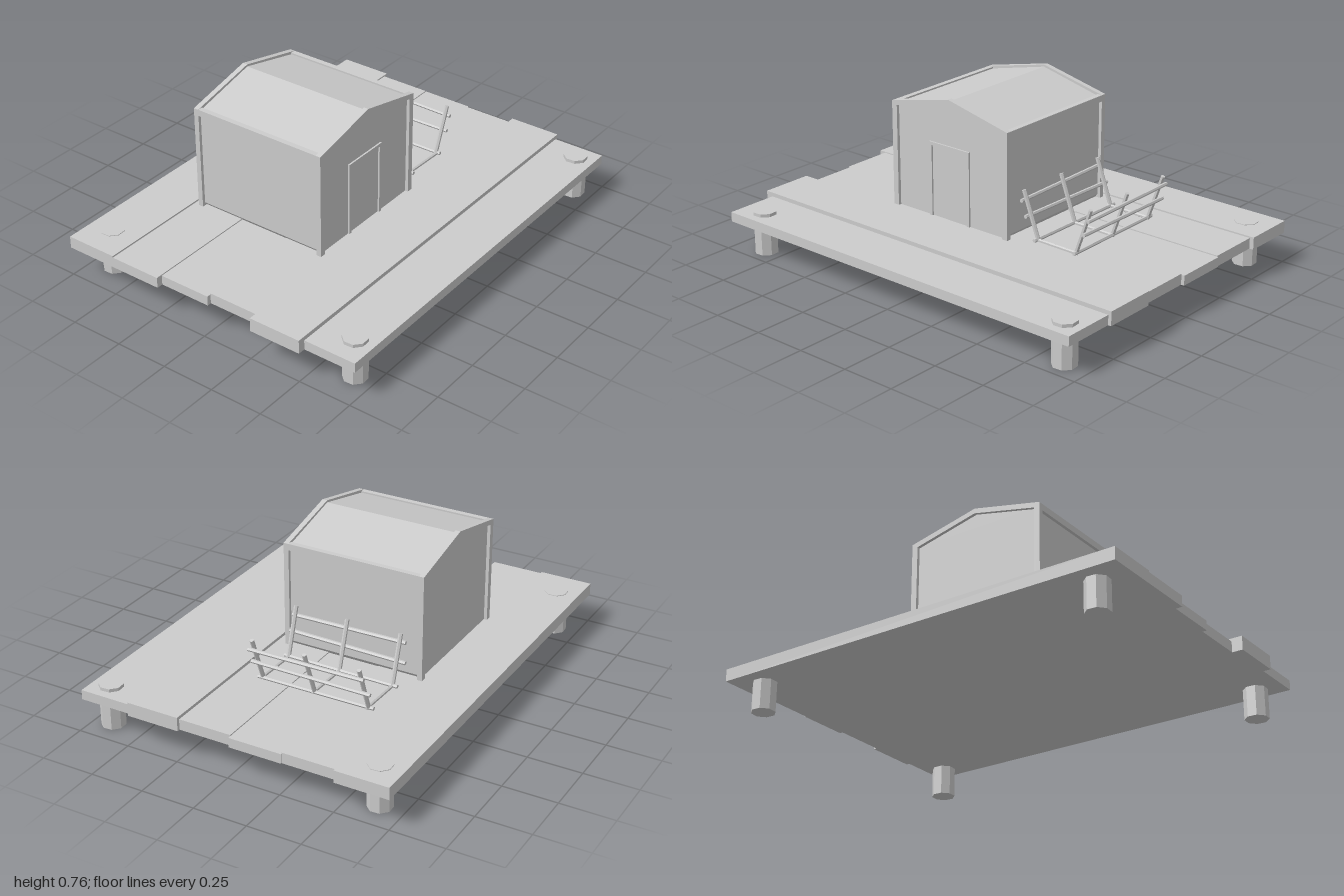
import * as THREE from 'three';

export function createModel() {
  const model = new THREE.Group();
  const grey = new THREE.MeshStandardMaterial({ color: 0xcccccc, flatShading: true });
  grey.name = 'plain grey';

  const add = (name, geometry, parent = model) => {
    const mesh = new THREE.Mesh(geometry, grey);
    mesh.name = name;
    parent.add(mesh);
    return mesh;
  };
  const box = (name, x0, x1, y0, y1, z0, z1, parent) =>
    add(name, new THREE.BoxGeometry(x1 - x0, y1 - y0, z1 - z0), parent)
      .position.set((x0 + x1) / 2, (y0 + y1) / 2, (z0 + z1) / 2);
  // Square-ish stick between two points
  const stick = (name, a, b, r, parent) => {
    const p = new THREE.Vector3(...a), q = new THREE.Vector3(...b);
    const mesh = add(name, new THREE.CylinderGeometry(r, r, p.distanceTo(q), 6), parent);
    mesh.position.copy(p).add(q).multiplyScalar(0.5);
    mesh.quaternion.setFromUnitVectors(new THREE.Vector3(0, 1, 0), q.sub(p).normalize());
  };
  // Outline in [z, y], extruded along x from x0 to x1
  const extrudeX = (name, points, x0, x1, parent) => {
    const shape = new THREE.Shape(points.map(([z, y]) => new THREE.Vector2(-z, y)));
    const geo = new THREE.ExtrudeGeometry(shape, { depth: x1 - x0, bevelEnabled: false });
    geo.rotateY(Math.PI / 2).translate(x0, 0, 0);
    return add(name, geo, parent);
  };

  // Deck of uneven planks: top height, back end, front end
  const deck = new THREE.Group();
  deck.name = 'deck';
  model.add(deck);
  [
    [0.197, -1.0, 1.0], [0.19, -0.98, 1.0], [0.185, -0.985, 0.97],
    [0.19, -0.97, 0.95], [0.204, -0.985, 1.0], [0.185, -0.97, 0.965],
  ].forEach(([top, back, front], i) => {
    const x = -0.75 + i * 0.25;
    box('plank', x, x + 0.25, 0.14, top, back, front, deck);
  });

  // Eight-sided posts
  for (const [x, z] of [[-0.64, 0.85], [-0.64, -0.87], [0.66, 0.84], [0.66, -0.88]]) {
    const post = add('post', new THREE.CylinderGeometry(0.055, 0.055, 0.2, 8), deck);
    post.position.set(x, 0.1, z);
    post.rotation.y = Math.PI / 8 + 0.06;
  }

  // Hut body: walls and roof, with the lower edge of the long walls turned in
  const hut = new THREE.Group();
  hut.name = 'hut';
  model.add(hut);
  extrudeX('walls and roof', [
    [0.44, 0.185], [0.455, 0.205], [0.455, 0.675], [0.135, 0.75],
    [-0.185, 0.675], [-0.185, 0.205], [-0.17, 0.185],
  ], -0.46, 0.192, hut);

  // Gable frames at both ends
  const gable = [
    [0.47, 0.185], [0.47, 0.685], [0.135, 0.76], [-0.2, 0.685], [-0.2, 0.185],
    [-0.172, 0.185], [-0.172, 0.667], [0.135, 0.737], [0.442, 0.667], [0.442, 0.185],
  ];
  extrudeX('gable frame', gable, -0.475, -0.451, hut);
  extrudeX('gable frame', gable, 0.183, 0.207, hut);

  // Eave beams
  box('eave beam', -0.46, 0.192, 0.655, 0.685, 0.445, 0.47, hut);
  box('eave beam', -0.46, 0.192, 0.655, 0.685, -0.2, -0.175, hut);

  // Door frame
  extrudeX('door frame', [
    [0.257, 0.19], [0.257, 0.54], [0.024, 0.54], [0.024, 0.19],
    [0.039, 0.19], [0.039, 0.525], [0.242, 0.525], [0.242, 0.19],
  ], 0.188, 0.2, hut);

  // V-shaped drying rack of sticks
  const rack = new THREE.Group();
  rack.name = 'rack';
  model.add(rack);
  const xs = [-0.39, -0.13, 0.125];
  for (const x of xs) stick('floor stick', [x, 0.198, -0.29], [x + 0.006, 0.198, -0.525], 0.008, rack);
  for (const side of [1, -1]) {
    const z = (offset) => -0.411 + side * offset;
    for (const x of xs) stick('leaning stake', [x, 0.195, z(0.103)], [x + 0.004, 0.413, z(0.181)], 0.01, rack);
    stick('upper rail', [-0.41, 0.372, z(0.183)], [0.148, 0.366, z(0.181)], 0.009, rack);
    stick('lower rail', [-0.425, 0.292, z(0.154)], [0.148, 0.298, z(0.158)], 0.009, rack);
    stick('bottom rail', [-0.415, 0.2, z(0.104)], [0.148, 0.2, z(0.108)], 0.009, rack);
  }

  return model;
}
